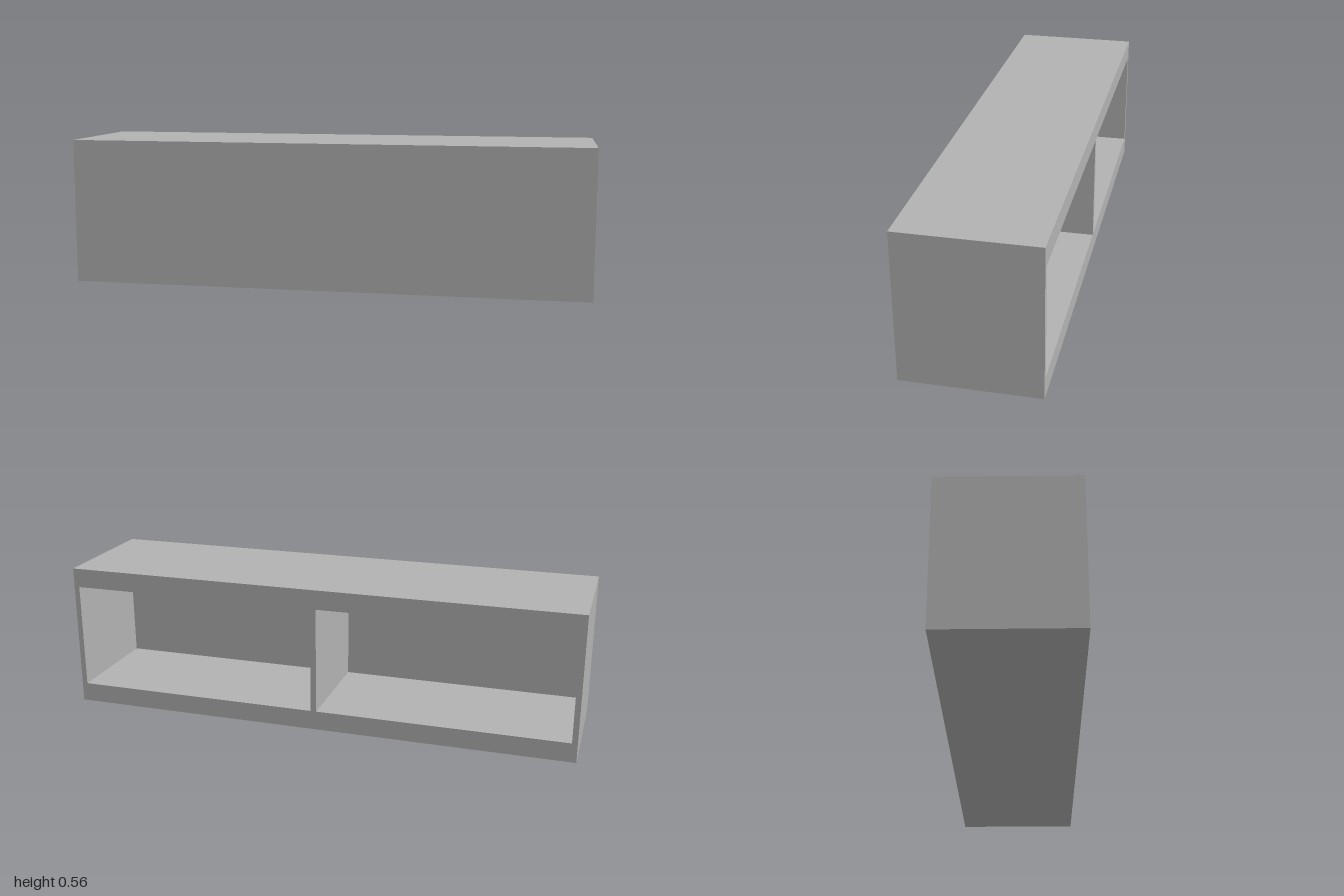
import * as THREE from 'three';

const W = 2, H = 0.5625, D = 0.5;           // outer size
const SIDE = 0.021, DIVIDER = 0.022;        // upright thicknesses
const RAIL = 0.075, FRONT = 0.0625;         // top/bottom and front thicknesses

// Box with its rear (-z) face left off
function openBox(w, h, d) {
  const g = new THREE.BoxGeometry(w, h, d);
  g.setIndex(Array.from(g.index.array).slice(0, 30));
  g.clearGroups();
  return g;
}

export function createModel() {
  const grey = new THREE.MeshStandardMaterial({ color: 0xb2b2b2 });
  grey.name = 'plain grey';
  const group = new THREE.Group();
  group.name = 'openBackCabinet';

  const add = (name, geometry, x, y, z) => {
    const mesh = new THREE.Mesh(geometry, grey);
    mesh.name = name;
    mesh.position.set(x, y, z);
    group.add(mesh);
  };

  // Outer faces of the cabinet
  add('outerCase', openBox(W, H, D), 0, H / 2, 0);

  // Rear frame with two openings, and a recess behind each
  const bayW = W / 2 - SIDE - DIVIDER / 2, bayH = H - 2 * RAIL, bayD = D - FRONT;
  const frame = new THREE.Shape([
    new THREE.Vector2(-W / 2, -H / 2), new THREE.Vector2(W / 2, -H / 2),
    new THREE.Vector2(W / 2, H / 2), new THREE.Vector2(-W / 2, H / 2),
  ]);
  for (const s of [-1, 1]) {
    const cx = s * (DIVIDER + bayW) / 2, a = bayW / 2, b = bayH / 2;
    frame.holes.push(new THREE.Path([
      new THREE.Vector2(cx - a, -b), new THREE.Vector2(cx - a, b),
      new THREE.Vector2(cx + a, b), new THREE.Vector2(cx + a, -b),
    ]));

    // Mirroring turns the faces inward
    const recess = openBox(bayW, bayH, bayD).scale(-1, 1, 1);
    recess.computeVertexNormals();
    add(s > 0 ? 'leftCompartment' : 'rightCompartment', recess, cx, H / 2, -FRONT / 2);
  }
  add('rearFrame', new THREE.ShapeGeometry(frame).rotateY(Math.PI), 0, H / 2, -D / 2);

  return group;
}
